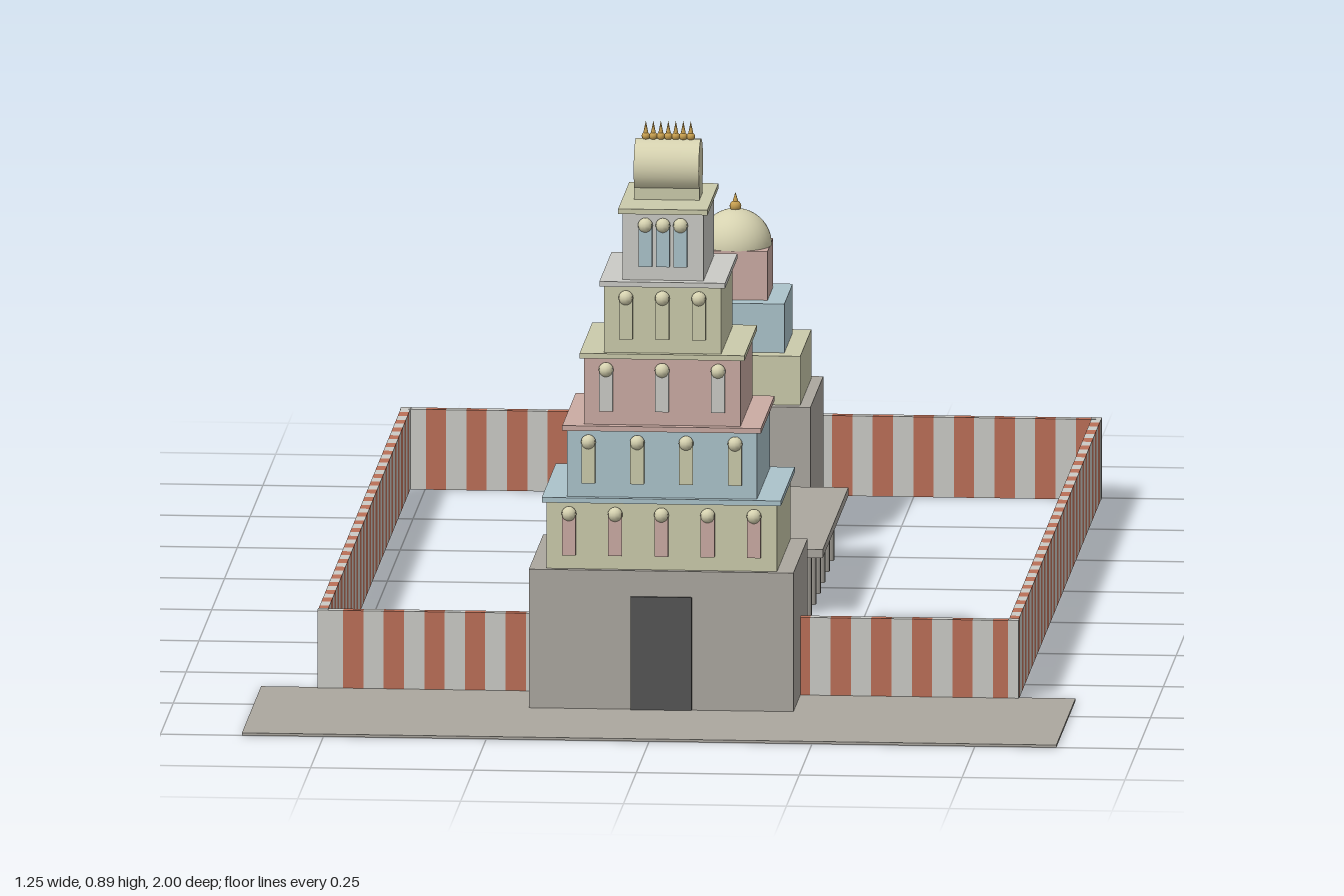
import * as THREE from 'three';

const mat = (name, color) => {
  const m = new THREE.MeshStandardMaterial({ color });
  m.name = name;
  return m;
};

export function createModel() {
  const root = new THREE.Group();
  root.name = 'templeCompound';
  const stone = mat('stone', 0xaba79f);
  const khaki = mat('khakiPlaster', 0xcbcbab);
  const blue = mat('bluePlaster', 0xabc3cb);
  const pink = mat('pinkPlaster', 0xcbaba3);
  const white = mat('paleGreyPlaster', 0xcbcbc6);
  const red = mat('redStripe', 0xbb6f57);
  const dark = mat('darkDoor', 0x555555);
  const gold = mat('gold', 0xc8a050);
  const cream = mat('creamDome', 0xd6d2b0);

  const add = (parent, name, geo, m, x, y, z) => {
    const mesh = new THREE.Mesh(geo, m);
    mesh.name = name;
    mesh.position.set(x, y, z);
    parent.add(mesh);
    return mesh;
  };
  // box placed by the height of its underside
  const box = (parent, name, w, h, d, m, x, y, z) =>
    add(parent, name, new THREE.BoxGeometry(w, h, d), m, x, y + h / 2, z);
  const group = (name) => {
    const g = new THREE.Group();
    g.name = name;
    root.add(g);
    return g;
  };

  // paved forecourt
  box(root, 'forecourt', 1.25, 0.004, 0.375, stone, 0, 0, 0.8125);

  // gateway tower
  const tower = group('gatewayTower');
  const TZ = 0.625;
  box(tower, 'towerBase', 0.406, 0.22, 0.28, stone, 0, 0, TZ);
  box(tower, 'door', 0.094, 0.176, 0.006, dark, 0, 0.004, TZ + 0.141);

  const palette = [khaki, blue, pink, khaki, white];
  const tiers = [ // width, depth, window count, window spacing
    [0.354, 0.26, 5, 0.071],
    [0.292, 0.25, 4, 0.075],
    [0.24, 0.235, 3, 0.086],
    [0.18, 0.225, 3, 0.056],
    [0.124, 0.203, 3, 0.027],
  ];
  const step = 0.1115;
  const hood = new THREE.SphereGeometry(0.0115, 12, 8);
  tiers.forEach(([w, d, n, gap], i) => {
    const y = 0.22 + i * step;
    box(tower, 'tier', w, step - 0.007, d, palette[i], 0, y, TZ);
    box(tower, 'cornice', w + 0.013, 0.008, d + 0.013, palette[(i + 1) % 5], 0, y + step - 0.008, TZ);
    const front = TZ + d / 2;
    for (let k = 0; k < n; k++) {
      const x = (k - (n - 1) / 2) * gap;
      box(tower, 'window', 0.021, 0.067, 0.009, palette[(i + 2) % 5], x, y + 0.022, front + 0.004);
      add(tower, 'windowHood', hood, cream, x, y + 0.086, front + 0.004);
    }
  });

  // barrel roof with a row of finials
  const roofY = 0.22 + 5 * step;
  box(tower, 'roofNeck', 0.1, 0.03, 0.06, khaki, 0, roofY, TZ);
  add(tower, 'barrelRoof', new THREE.CylinderGeometry(0.042, 0.042, 0.1, 24), cream, 0, 0.825, TZ)
    .rotation.z = Math.PI / 2;
  for (let k = -3; k <= 3; k++) {
    add(tower, 'finialBulb', new THREE.SphereGeometry(0.0065, 10, 8), gold, k * 0.0115, 0.871, TZ);
    add(tower, 'finialSpike', new THREE.ConeGeometry(0.004, 0.02, 8), gold, k * 0.0115, 0.885, TZ);
  }

  // striped boundary wall
  const wall = group('boundaryWall');
  const H = 0.125, T = 0.015, X = 0.53, Z0 = -0.993, Z1 = 0.623;
  const stripe = (k) => (k % 2 ? red : white);
  const nx = 34, sx = (2 * X) / nx;
  for (let k = 0; k < nx; k++) {
    const x0 = -X + k * sx, x = x0 + sx / 2;
    box(wall, 'backWallStripe', sx, H, T, stripe(k), x, 0, Z0);
    if (Math.abs(x) > 0.19) box(wall, 'frontWallStripe', sx, H, T, stripe(k), x, 0, Z1);
  }
  const nz = 52, sz = (Z1 - Z0) / nz;
  for (const s of [-1, 1]) {
    for (let k = 0; k < nz; k++) {
      box(wall, 'sideWallStripe', T, H, sz, stripe(k), s * X, 0, Z0 + (k + 0.5) * sz);
    }
    for (const z of [Z0, Z1]) box(wall, 'cornerPost', T + 0.001, H + 0.0005, T + 0.001, white, s * X, 0, z);
  }

  // pillared hall
  const hall = group('pillaredHall');
  box(hall, 'hallRoof', 0.376, 0.013, 0.5, stone, 0, 0.095, -0.25);
  const pillar = new THREE.CylinderGeometry(0.009, 0.009, 0.096, 10);
  for (let i = 0; i < 5; i++) {
    for (let j = 0; j < 6; j++) {
      add(hall, 'pillar', pillar, stone, -0.16 + i * 0.08, 0.048, -0.47 + j * 0.088);
    }
  }

  // flagstaff
  const staff = group('flagstaff');
  box(staff, 'staffPlinth', 0.06, 0.032, 0.06, stone, 0, 0, 0.065);
  add(staff, 'staffPole', new THREE.CylinderGeometry(0.004, 0.006, 0.408, 12), gold, 0, 0.236, 0.065);

  // domed sanctuary
  const shrine = group('sanctuary');
  const SZ = -0.686;
  box(shrine, 'sanctuaryBase', 0.25, 0.22, 0.25, stone, 0, 0, SZ);
  [[0.216, khaki], [0.163, blue], [0.107, pink]].forEach(([w, m], i) =>
    box(shrine, 'sanctuaryTier', w, 0.076, w, m, 0, 0.22 + i * 0.076, SZ));
  add(shrine, 'dome', new THREE.SphereGeometry(0.056, 28, 14, 0, Math.PI * 2, 0, Math.PI / 2), cream, 0, 0.448, SZ);
  const underside = add(shrine, 'domeUnderside', new THREE.CircleGeometry(0.056, 28), cream, 0, 0.448, SZ);
  underside.rotation.x = Math.PI / 2;
  add(shrine, 'domeFinialBulb', new THREE.SphereGeometry(0.009, 12, 8), gold, 0, 0.508, SZ);
  add(shrine, 'domeFinialSpike', new THREE.ConeGeometry(0.006, 0.02, 10), gold, 0, 0.52, SZ);

  return root;
}
